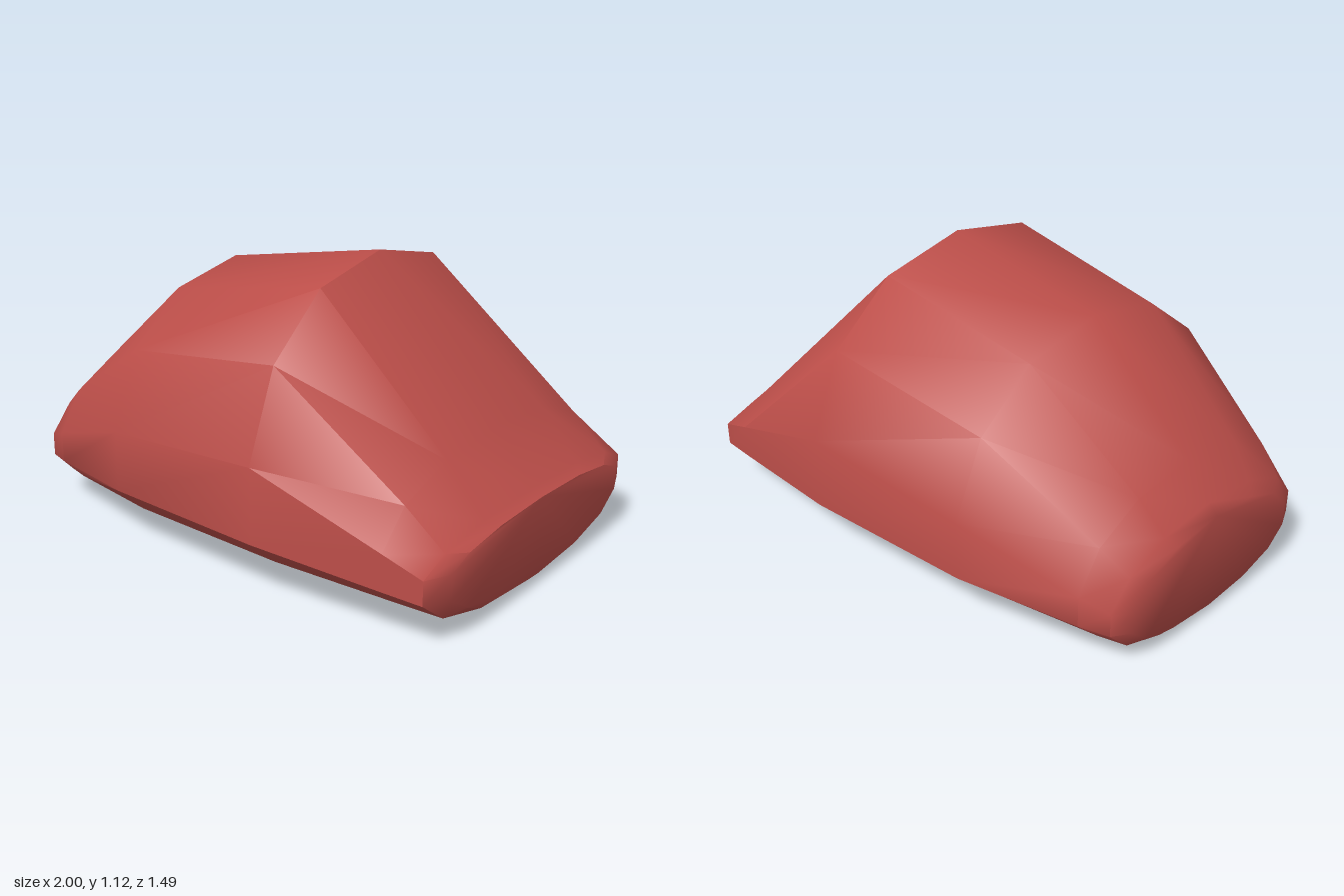
import * as THREE from 'three';
import { toCreasedNormals } from 'three/addons/utils/BufferGeometryUtils.js';

// Stations along x: [x, half width, top, upper side edge, lower side edge, bottom]
const STATIONS = [
  [-1.0, 0.44, 0.43, 0.26, 0.17, 0.04],
  [-0.965, 0.515, 0.47, 0.27, 0.18, 0.0],
  [-0.86, 0.56, 0.6, 0.31, 0.19, 0.0],
  [-0.41, 0.69, 1.0, 0.455, 0.22, 0.0],
  [0.29, 0.745, 1.12, 0.505, 0.22, 0.0],
  [0.81, 0.705, 0.56, 0.325, 0.19, 0.0],
  [0.96, 0.69, 0.36, 0.27, 0.18, 0.0],
  [1.0, 0.585, 0.335, 0.265, 0.17, 0.04],
];

// Half outline, as fractions of the half width and of the dome and belly heights
const DOME = [[0, 1], [0.475, 0.88], [0.82, 0.53], [1, 0]];
const BELLY = [[1, 1], [0.82, 0.48], [0.47, 0.13], [0, 0]];

// Closed cross-section, counter-clockwise seen from +x
function ring([x, half, top, side, low, bottom]) {
  const front = [
    ...DOME.map(([w, h]) => [x, side + (top - side) * h, half * w]),
    ...BELLY.map(([w, h]) => [x, bottom + (low - bottom) * h, half * w]),
  ];
  const back = front.slice(1, -1).reverse().map(([px, y, z]) => [px, y, -z]);
  return [...front, ...back];
}

// Skin through all the cross-sections with a flat cap at each end
function loft(stations) {
  const rings = stations.map(ring);
  const n = rings[0].length;
  const last = rings.length - 1;
  const index = [];
  for (let i = 0; i < last; i++) {
    for (let j = 0; j < n; j++) {
      const a = i * n + j;
      const b = i * n + (j + 1) % n;
      index.push(a, b, a + n, b, b + n, a + n);
    }
  }
  for (let j = 1; j < n - 1; j++) {
    index.push(0, j + 1, j);
    index.push(last * n, last * n + j, last * n + j + 1);
  }
  const geometry = new THREE.BufferGeometry();
  geometry.setAttribute('position', new THREE.Float32BufferAttribute(rings.flat(2), 3));
  geometry.setIndex(index);
  return toCreasedNormals(geometry, 0.8);
}

export function createModel() {
  const group = new THREE.Group();
  group.name = 'domedShell';
  const red = new THREE.MeshStandardMaterial({ color: 0xbc4e49 });
  red.name = 'brick red';

  // One solid body: sloped dome, upright sides and shallow curved belly
  const body = new THREE.Mesh(loft(STATIONS), red);
  body.name = 'body';
  group.add(body);
  return group;
}
